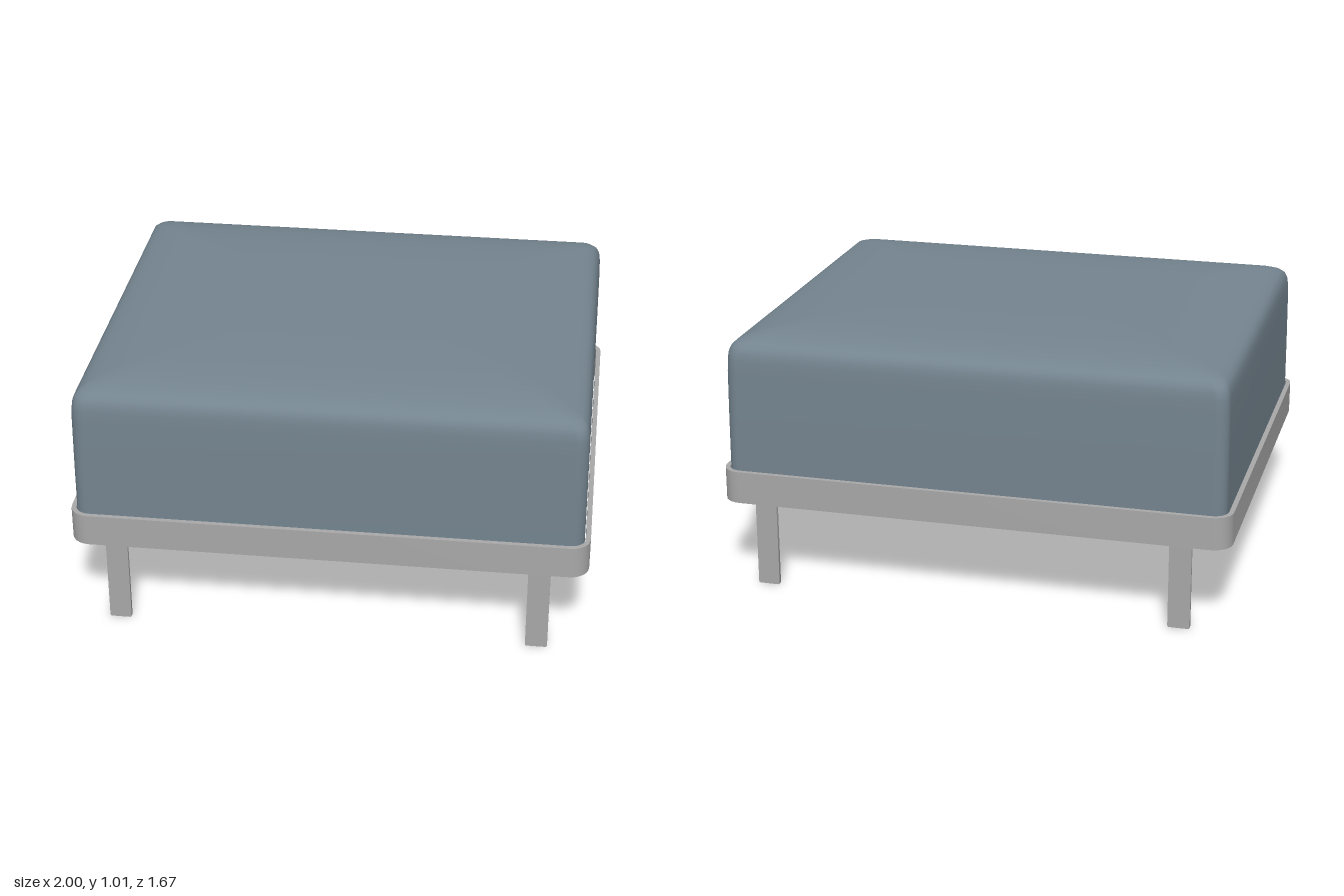
import * as THREE from 'three';
import { toCreasedNormals } from 'three/addons/utils/BufferGeometryUtils.js';

// Rounded rectangle outline as points, running from +x towards +y
function outline(hx, hz, r, n = 6) {
  const pts = [];
  const corners = [[1, 1], [-1, 1], [-1, -1], [1, -1]];
  corners.forEach(([sx, sz], k) => {
    for (let i = 0; i <= n; i++) {
      const a = (k + i / n) * Math.PI / 2;
      pts.push(new THREE.Vector2(sx * (hx - r) + r * Math.cos(a), sz * (hz - r) + r * Math.sin(a)));
    }
  });
  return pts;
}

// Skin of stacked rounded rectangles, closed by a fan on top
function crownedBlock(hx, hz, r, profile) {
  const pos = [], idx = [];
  let count = 0;
  for (const [inset, y] of profile) {
    const ring = outline(hx - inset, hz - inset, r);
    count = ring.length;
    ring.forEach(p => pos.push(p.x, y, p.y));
  }
  const last = profile.length - 1;
  pos.push(0, profile[last][1] + 0.001, 0);
  const centre = profile.length * count;
  for (let i = 0; i < count; i++) {
    const j = (i + 1) % count;
    for (let k = 0; k < last; k++) {
      const a = k * count + i, b = k * count + j;
      idx.push(a, a + count, b, b, a + count, b + count);
    }
    idx.push(last * count + i, centre, last * count + j);
  }
  const g = new THREE.BufferGeometry();
  g.setAttribute('position', new THREE.Float32BufferAttribute(pos, 3));
  g.setIndex(idx);
  g.computeVertexNormals();
  return g;
}

export function createModel() {
  const group = new THREE.Group();
  const fabric = new THREE.MeshStandardMaterial({ color: 0x74848f });
  fabric.name = 'blue grey fabric';
  const metal = new THREE.MeshStandardMaterial({ color: 0xa8a8a8 });
  metal.name = 'grey metal';

  const add = (name, geometry, material, x = 0, y = 0, z = 0) => {
    const mesh = new THREE.Mesh(geometry, material);
    mesh.name = name;
    mesh.position.set(x, y, z);
    group.add(mesh);
    return mesh;
  };

  // Cushion with upright sides and a softly crowned top: [inset, height]
  add('cushion', crownedBlock(0.977, 0.813, 0.05, [
    [0, 0.39], [0, 0.46], [0.001, 0.65], [0.003, 0.85], [0.005, 0.9], [0.009, 0.93],
    [0.018, 0.952], [0.034, 0.967], [0.06, 0.978], [0.1, 0.988], [0.16, 0.997],
    [0.25, 1.005], [0.38, 1.01], [0.55, 1.012],
  ]), fabric);
  add('cushionBase', new THREE.BoxGeometry(1.94, 0.02, 1.62), fabric, 0, 0.4, 0);

  // Upholstered slats running front to back underneath
  for (let i = 0; i < 6; i++) {
    add('slat', new THREE.BoxGeometry(0.265, 0.045, 1.63), fabric, (i - 2.5) * 0.33, 0.37, 0);
  }

  // Thin metal band around the base
  const band = new THREE.Shape(outline(1, 0.835, 0.075));
  band.holes.push(new THREE.Path(outline(0.981, 0.816, 0.056).reverse()));
  const bandGeo = new THREE.ExtrudeGeometry(band, { depth: 0.128, bevelEnabled: false });
  bandGeo.rotateX(-Math.PI / 2);
  add('frameBand', toCreasedNormals(bandGeo, 0.7), metal, 0, 0.33, 0);

  // Four flat legs set in from the corners
  const legShape = new THREE.Shape(outline(0.0425, 0.175, 0.006, 3));
  const legGeo = toCreasedNormals(
    new THREE.ExtrudeGeometry(legShape, { depth: 0.016, bevelEnabled: false }), 0.7);
  legGeo.translate(0, 0.175, -0.008);
  for (const sx of [-1, 1]) {
    for (const sz of [-1, 1]) {
      add(sz > 0 ? 'frontLeg' : 'backLeg', legGeo, metal, sx * 0.815, 0, sz * 0.8255);
    }
  }
  return group;
}
